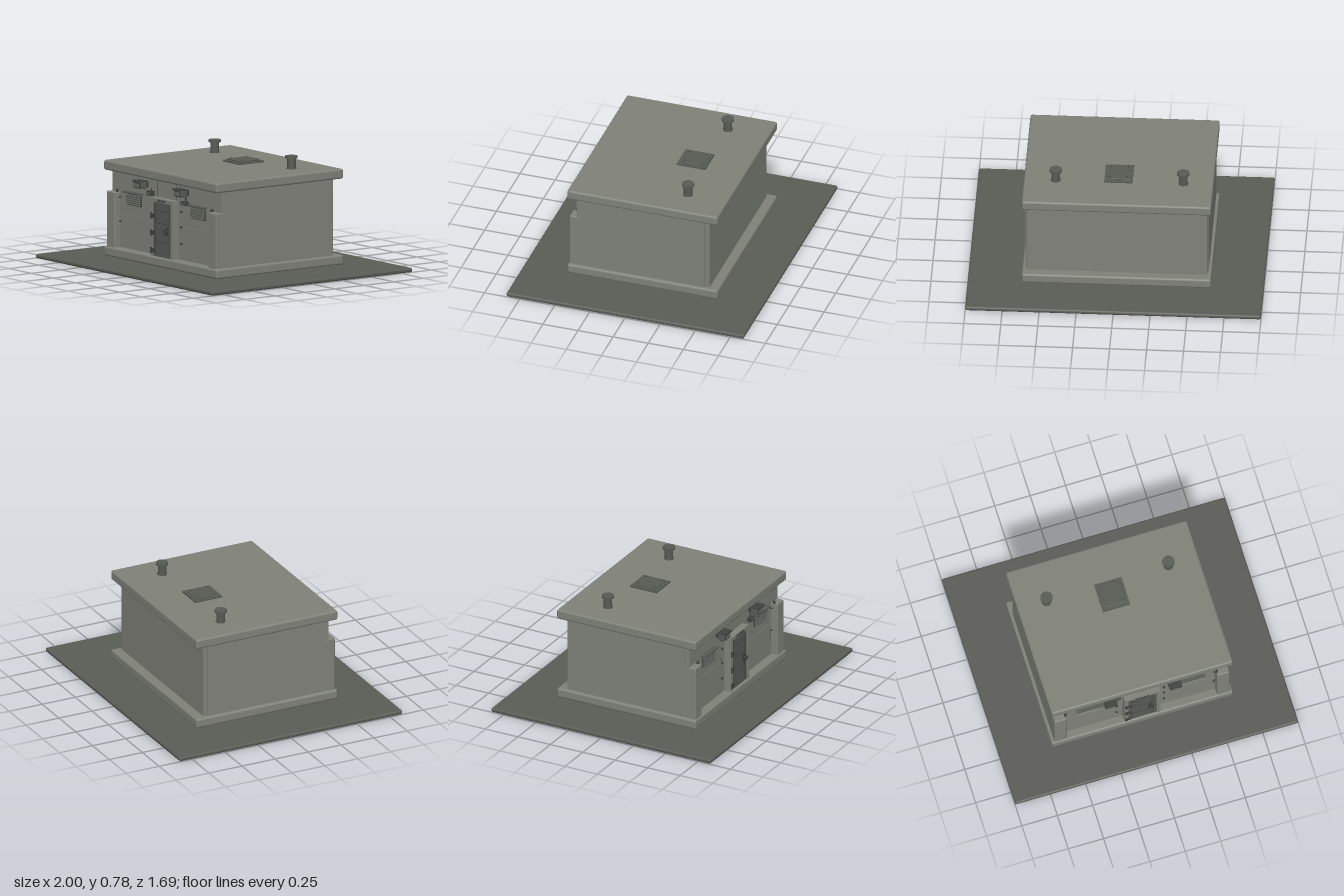
import * as THREE from 'three';
import { RoundedBoxGeometry } from 'three/addons/geometries/RoundedBoxGeometry.js';

export function createModel() {
  const mat = (name, color) => Object.assign(new THREE.MeshStandardMaterial({ color }), { name });
  const concrete = mat('concrete', 0x7f8279);
  const ground = mat('ground', 0x5a5c56);
  const steel = mat('steel', 0x585b54);
  const dark = mat('dark steel', 0x3f423d);
  const lens = mat('lens', 0x6b6e66);

  const model = new THREE.Group();
  model.name = 'bunker';
  const building = new THREE.Group();
  building.name = 'building';
  building.position.x = -0.005;
  model.add(building);

  const add = (name, geo, m, parent) => {
    const mesh = new THREE.Mesh(geo, m);
    mesh.name = name;
    parent.add(mesh);
    return mesh;
  };
  // Box given by its limits; r rounds the edges
  const box = (name, m, x0, x1, y0, y1, z0, z1, r = 0, parent = building) => {
    const s = [x1 - x0, y1 - y0, z1 - z0];
    const geo = r ? new RoundedBoxGeometry(...s, 2, r) : new THREE.BoxGeometry(...s);
    const mesh = add(name, geo, m, parent);
    mesh.position.set((x0 + x1) / 2, (y0 + y1) / 2, (z0 + z1) / 2);
    return mesh;
  };
  // Cylinder standing upright, or pointing forward
  const rod = (name, m, r, len, x, y, z, forward = false, sides = 20) => {
    const mesh = add(name, new THREE.CylinderGeometry(r, r, len, sides), m, building);
    if (forward) mesh.rotation.x = Math.PI / 2;
    mesh.position.set(x, y, z);
    return mesh;
  };

  // Ground slab, plinth, walls and roof
  box('groundSlab', ground, -1, 1, 0, 0.03, -0.845, 0.845, 0.012, model);
  box('plinth', concrete, -0.64, 0.64, 0.035, 0.102, -0.535, 0.535, 0.014);
  box('plinthFooting', concrete, -0.61, 0.61, 0.02, 0.05, -0.5, 0.5);
  box('sideWalls', concrete, -0.618, 0.618, 0.09, 0.63, -0.437, 0.44);
  box('frontWall', concrete, -0.616, 0.616, 0.09, 0.63, 0.42, 0.475);
  box('backWall', concrete, -0.61, 0.61, 0.09, 0.63, -0.47, -0.42, 0.008);
  box('roof', concrete, -0.64, 0.64, 0.622, 0.69, -0.535, 0.535, 0.014);

  // Roof hatch with a raised lid and corner bolts
  box('hatchFrame', steel, -0.095, 0.097, 0.685, 0.702, -0.268, -0.064);
  box('hatchLid', steel, -0.077, 0.079, 0.702, 0.712, -0.25, -0.085, 0.004);
  for (const x of [-0.058, 0.06]) for (const z of [-0.23, -0.105])
    rod('hatchBolt', dark, 0.005, 0.006, x, 0.714, z, false, 8);

  // Roof vents
  for (const [x, z] of [[-0.437, -0.25], [0.425, -0.255]]) {
    rod('ventFlange', steel, 0.034, 0.008, x, 0.693, z);
    rod('ventPipe', steel, 0.029, 0.085, x, 0.725, z);
    rod('ventCap', steel, 0.042, 0.016, x, 0.771, z);
  }

  // Door surround, lintel slats and armoured door
  box('doorJamb', concrete, -0.123, -0.098, 0.1, 0.5, 0.46, 0.525);
  box('doorJamb', concrete, 0.105, 0.128, 0.1, 0.5, 0.46, 0.525);
  box('doorLintel', concrete, -0.098, 0.105, 0.475, 0.5, 0.46, 0.525);
  box('door', steel, -0.098, 0.105, 0.1, 0.475, 0.46, 0.518);
  for (let i = 0; i < 5; i++)
    box('lintelSlot', dark, -0.047 + i * 0.02, -0.033 + i * 0.02, 0.48, 0.494, 0.52, 0.527);
  for (const y of [0.2, 0.33, 0.415])
    box('doorSeam', dark, -0.075, 0.082, y, y + 0.004, 0.515, 0.52);
  for (const x of [-0.078, 0.081])
    box('doorRib', dark, x, x + 0.003, 0.12, 0.46, 0.515, 0.521);
  for (const x of [-0.065, 0.07]) for (const y of [0.13, 0.225, 0.355, 0.445])
    rod('doorRivet', dark, 0.004, 0.006, x, y, 0.52, true, 8);
  for (const y of [0.14, 0.26, 0.377]) {
    box('hingePlate', dark, -0.12, -0.082, y - 0.015, y + 0.015, 0.515, 0.53);
    rod('hingePin', dark, 0.008, 0.04, -0.113, y, 0.527, false, 12);
  }
  box('lockPlate', dark, 0.046, 0.074, 0.255, 0.315, 0.515, 0.524);
  rod('handleHub', dark, 0.008, 0.03, 0.06, 0.285, 0.53, true, 12);
  add('handleWheel', new THREE.TorusGeometry(0.016, 0.004, 8, 20), dark, building)
    .position.set(0.06, 0.283, 0.541);
  box('handleBar', dark, 0.044, 0.076, 0.28, 0.286, 0.537, 0.545);

  // Joints in the front wall
  for (const x of [-0.104, 0.106])
    box('verticalJoint', dark, x - 0.0015, x + 0.0015, 0.5, 0.622, 0.473, 0.4765);

  // Paired details: wing walls, louvres, bolts, lamps
  for (const s of [-1, 1]) {
    const span = (name, m, a, b, ...rest) =>
      box(name, m, Math.min(s * a, s * b), Math.max(s * a, s * b), ...rest);

    span('wingWall', concrete, 0.53, 0.618, 0.09, 0.48, 0.43, 0.525, 0.008);
    span('wallSeam', concrete, 0.125, 0.53, 0.33, 0.334, 0.473, 0.478);
    rod('wingLamp', dark, 0.009, 0.02, s * 0.535, 0.488, 0.495, false, 12);
    for (const y of [0.28, 0.445])
      rod('conduitClip', dark, 0.006, 0.012, s * 0.523, y, 0.48, true, 8);

    // Louvre with its rain hood
    span('louvreHood', steel, 0.268, 0.452, 0.488, 0.498, 0.47, 0.512);
    span('louvreBack', dark, 0.285, 0.439, 0.403, 0.48, 0.47, 0.48);
    for (let i = 0; i < 5; i++) {
      const y = 0.412 + i * 0.0145;
      const slat = span('louvreSlat', steel, 0.285, 0.439, y, y + 0.004, 0.476, 0.496);
      slat.rotation.x = 0.5;
    }

    // Wall bolts beside the door
    for (const y of [0.212, 0.327, 0.431])
      rod('wallBolt', dark, 0.008, 0.012, s * 0.167, y, 0.48, true, 8);

    // Floodlight on a bracket
    const x = s * 0.228;
    box('floodlightBracket', dark, x - 0.018, x + 0.018, 0.55, 0.59, 0.47, 0.515);
    box('floodlightBody', steel, x - 0.042, x + 0.042, 0.547, 0.595, 0.507, 0.556, 0.005);
    box('floodlightVisor', dark, x - 0.044, x + 0.044, 0.594, 0.602, 0.505, 0.57);
    box('floodlightRim', dark, x - 0.035, x + 0.035, 0.552, 0.588, 0.55, 0.561);
    box('floodlightLens', lens, x - 0.028, x + 0.028, 0.558, 0.582, 0.558, 0.563);
  }

  // Junction boxes below the floodlights
  for (const [x0, x1, y0, y1] of [[-0.19, -0.142, 0.502, 0.534], [0.192, 0.25, 0.484, 0.51]]) {
    box('junctionBox', dark, x0, x1, y0, y1, 0.47, 0.505);
    box('junctionBoxCover', steel, x0 + 0.007, x1 - 0.007, y0 + 0.007, y1 - 0.007, 0.503, 0.51);
    const xc = (x0 + x1) / 2;
    rod('conduit', dark, 0.004, 0.55 - y1, xc, (0.55 + y1) / 2, 0.482, false, 8);
  }

  // Hairline cracks in the concrete
  const crack = (x, y, pts) => {
    for (let i = 1; i < pts.length; i++) {
      const [a, b] = [pts[i - 1], pts[i]];
      const [dx, dy] = [b[0] - a[0], b[1] - a[1]];
      const m = add('crack', new THREE.BoxGeometry(Math.hypot(dx, dy), 0.003, 0.002), dark, building);
      m.position.set(x + (a[0] + b[0]) / 2, y + (a[1] + b[1]) / 2, 0.4755);
      m.rotation.z = Math.atan2(dy, dx);
    }
  };
  crack(-0.175, 0.33, [[0, 0], [0.008, 0.015], [-0.002, 0.027], [0.002, 0.04]]);
  crack(0.508, 0.225, [[0, 0], [0.012, 0.018], [0.004, 0.035], [0.018, 0.06]]);

  return model;
}
